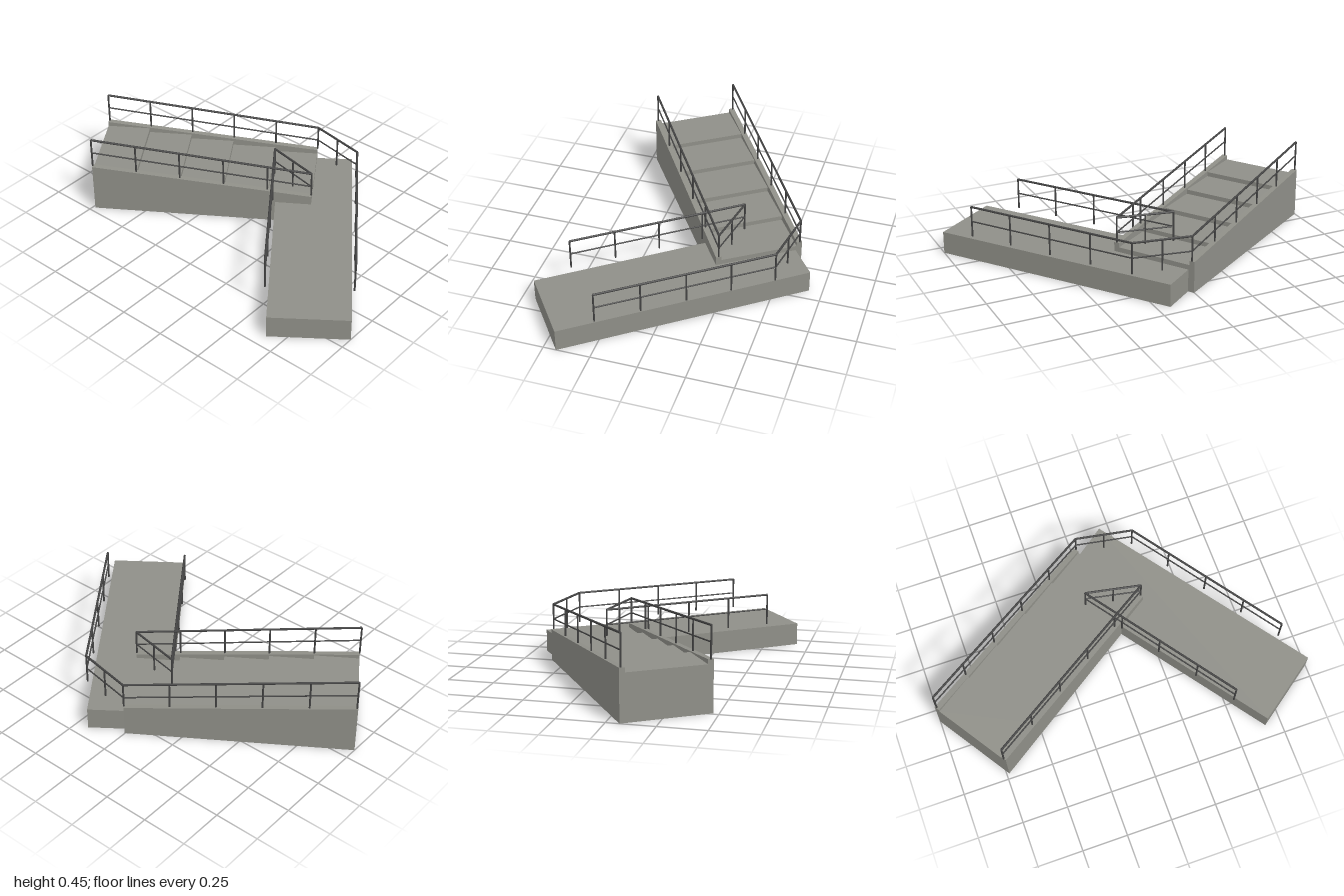
import * as THREE from 'three';

const concrete = new THREE.MeshStandardMaterial({ color: 0x8f8f88, flatShading: true });
const steel = new THREE.MeshStandardMaterial({ color: 0x444444 });

// Side profile (distance along, height) extruded across the stair's width
function slab(name, points, width, z) {
  const shape = new THREE.Shape(points.map(([x, y]) => new THREE.Vector2(x, y)));
  const geometry = new THREE.ExtrudeGeometry(shape, { depth: width, bevelEnabled: false });
  const mesh = new THREE.Mesh(geometry, concrete);
  mesh.position.z = z;
  mesh.name = name;
  return mesh;
}

// Round bar between two points
function bar(name, a, b, radius) {
  const dir = b.clone().sub(a);
  const mesh = new THREE.Mesh(new THREE.CylinderGeometry(radius, radius, dir.length(), 8), steel);
  mesh.position.copy(a).add(b).multiplyScalar(0.5);
  mesh.quaternion.setFromUnitVectors(new THREE.Vector3(0, 1, 0), dir.normalize());
  mesh.name = name;
  return mesh;
}

// Railing run; each end is [x, z, foot, middle, top]; posts listed as fractions along it
function railingRun(group, a, b, posts) {
  const at = (t, level) => new THREE.Vector3(
    THREE.MathUtils.lerp(a[0], b[0], t),
    THREE.MathUtils.lerp(a[level], b[level], t),
    THREE.MathUtils.lerp(a[1], b[1], t));
  group.add(bar('topRail', at(0, 4), at(1, 4), 0.006));
  group.add(bar('middleRail', at(0, 3), at(1, 3), 0.004));
  for (const t of posts) group.add(bar('post', at(t, 2), at(t, 4), 0.005));
}

// Sloping run, short return, then a level run beside the walkway
function railing(name, start, bend, corner, end) {
  const group = new THREE.Group();
  group.name = name;
  const flat = [0.145, 0.232, 0.315];
  railingRun(group, [...start, 0.274, 0.36, 0.443], [...bend, 0.175, 0.232, 0.315], [0, 0.2, 0.4, 0.6, 0.8, 1]);
  railingRun(group, [...bend, ...flat], [...corner, ...flat], [0.5]);
  railingRun(group, [...corner, ...flat], [...end, ...flat], [0, 0.25, 0.5, 0.75, 1]);
  return group;
}

export function createModel() {
  const model = new THREE.Group();
  model.name = 'steppedWalkway';

  // Low walkway
  const walkway = new THREE.Mesh(new THREE.BoxGeometry(0.418, 0.123, 1.38), concrete);
  walkway.name = 'walkway';
  walkway.position.set(0.4225, 0.0615, 0);
  walkway.rotation.y = 0.636;
  model.add(walkway);

  // Shallow steps between sloping side walls
  const stairs = new THREE.Group();
  stairs.name = 'stairs';
  stairs.position.set(-1, 0, 0.07);
  stairs.rotation.y = 0.583;
  const length = 1.2, width = 0.48, wall = 0.03, count = 5;
  const profile = [[0, 0]];
  for (let i = 0; i < count; i++) {
    const y = 0.25 - i * 0.025;
    profile.push([i * length / count, y], [(i + 1) * length / count, y]);
  }
  profile.push([length, 0]);
  stairs.add(slab('steps', profile, width - 2 * wall, wall));
  const side = [[0, 0], [0, 0.275], [length, 0.173], [length, 0]];
  stairs.add(slab('backWall', side, wall, 0));
  stairs.add(slab('frontWall', side, wall, width - wall));
  model.add(stairs);

  // Handrails
  model.add(railing('backRailing', [-0.99, 0.075], [0.01, -0.58], [0.32, -0.525], [0.89, 0.26]));
  model.add(railing('frontRailing', [-0.743, 0.458], [0.256, -0.202], [-0.045, -0.26], [0.527, 0.523]));
  return model;
}
